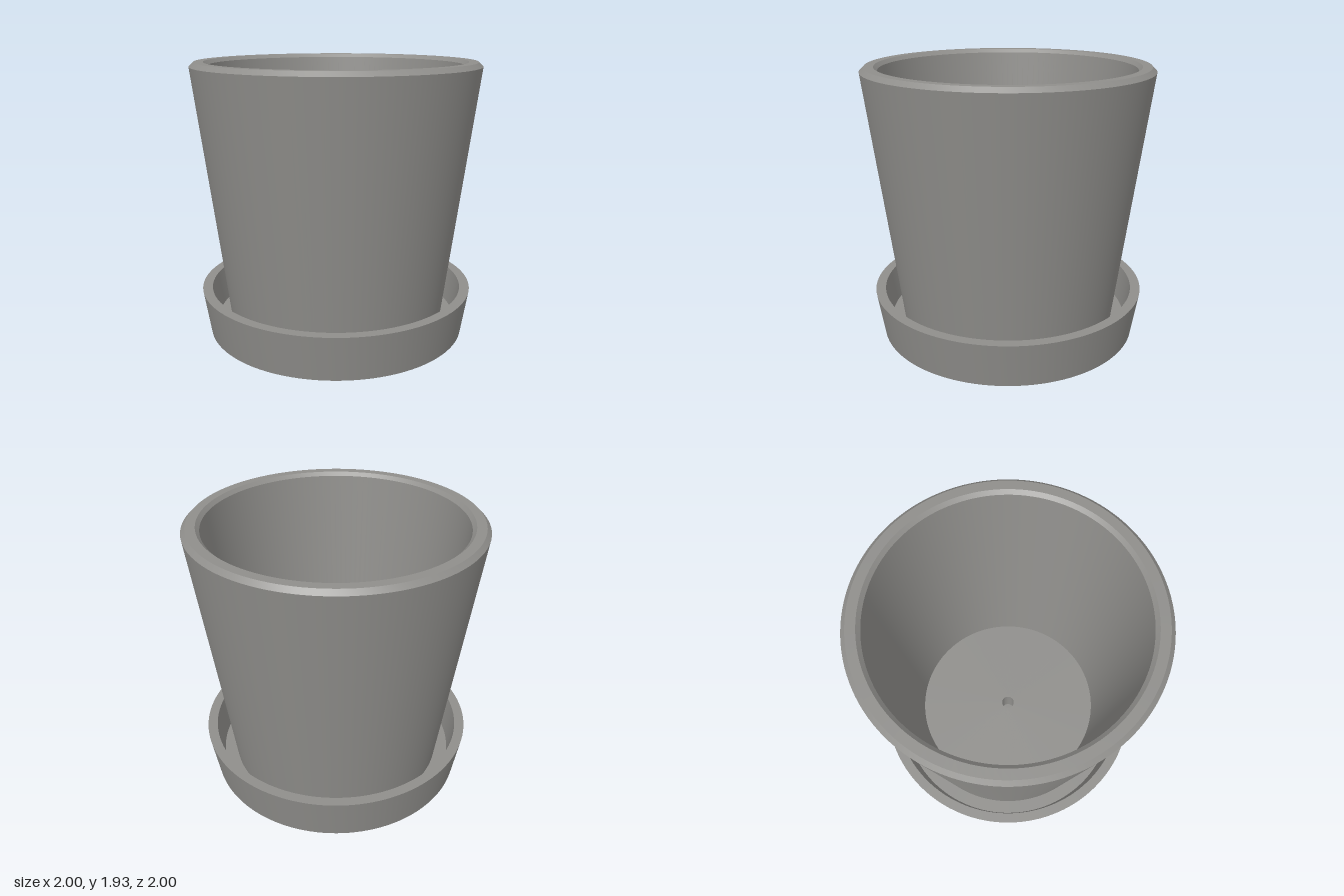
import * as THREE from 'three';
import { toCreasedNormals } from 'three/addons/utils/BufferGeometryUtils.js';

const SEGMENTS = 128;

// Revolve a [radius, height] profile, keeping its corners sharp
function turned(name, profile, material) {
  const points = profile.map(([r, y]) => new THREE.Vector2(r, y));
  const geometry = toCreasedNormals(new THREE.LatheGeometry(points, SEGMENTS), 0.4);
  const mesh = new THREE.Mesh(geometry, material);
  mesh.name = name;
  return mesh;
}

export function createModel() {
  const group = new THREE.Group();
  group.name = 'flowerPot';

  const clay = new THREE.MeshStandardMaterial({ color: 0x8f8e8b });
  clay.name = 'grey clay';

  // Shallow dish with a flat floor and flared wall
  group.add(turned('saucer', [
    [0, 0], [0.93, 0], [0.98, 0.32], [0.91, 0.32], [0.87, 0.08], [0, 0.08],
  ], clay));

  // Tapered pot with bevelled rim and a drain hole through its floor
  group.add(turned('pot', [
    [0.047, 0.081], [0.776, 0.081], [1, 1.9], [0.97, 1.93], [0.905, 1.93],
    [0.88, 1.905], [0.68, 0.28], [0.047, 0.28], [0.047, 0.081],
  ], clay));

  return group;
}
